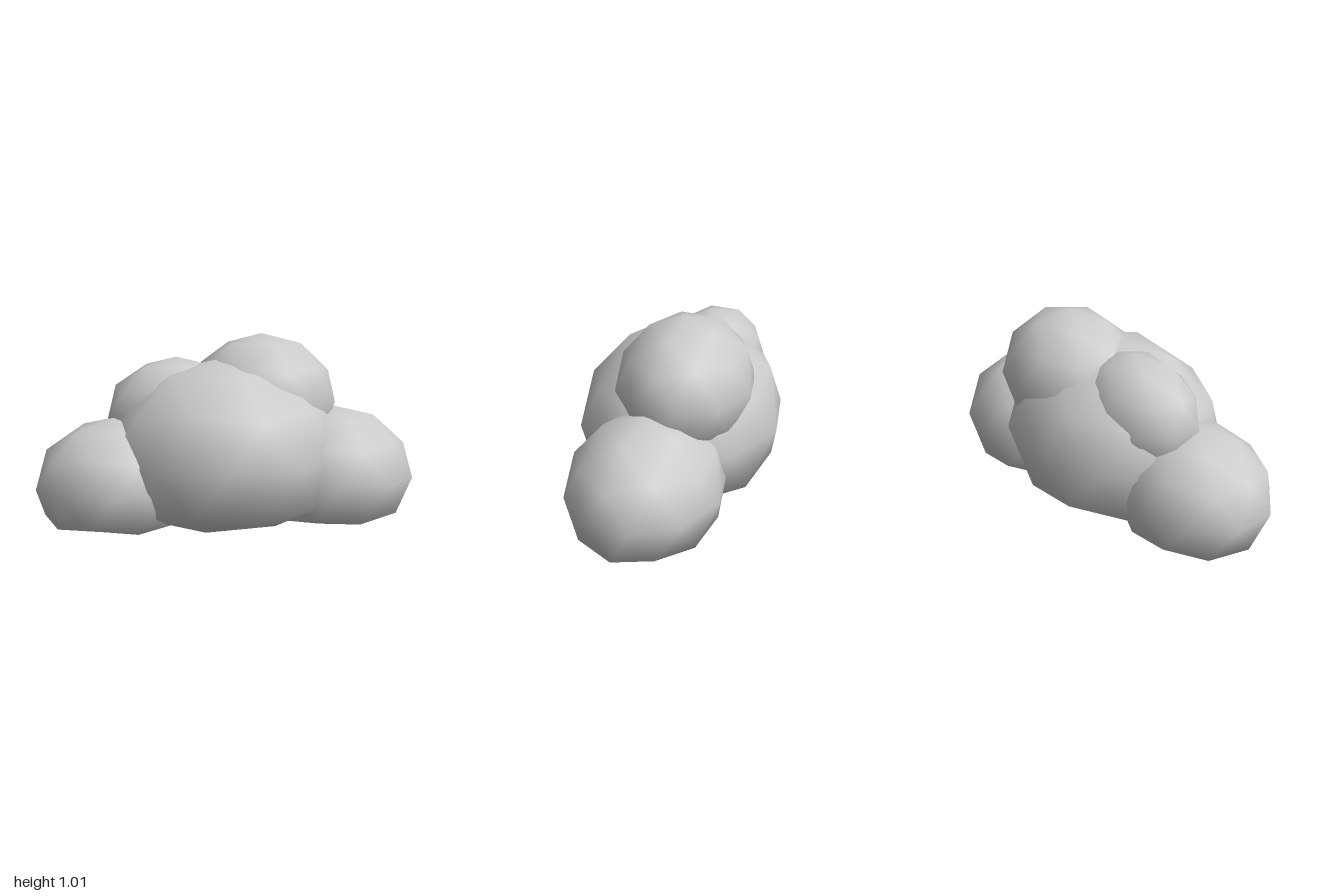
import * as THREE from 'three';
import { mergeVertices } from 'three/addons/utils/BufferGeometryUtils.js';

// Smooth low-poly puff: stretched icosphere with its underside pressed flat near the ground
function puffGeometry([cx, cy, cz], [rx, ry, rz]) {
  let geo = new THREE.IcosahedronGeometry(1, 1);
  geo.deleteAttribute('uv');
  geo.deleteAttribute('normal');
  geo = mergeVertices(geo, 1e-3);
  geo.rotateZ(-Math.atan(2 / (1 + Math.sqrt(5)))); // one vertex straight up
  geo.scale(rx, ry, rz);
  geo.translate(cx, cy, cz);
  const pos = geo.attributes.position;
  for (let i = 0; i < pos.count; i++) {
    const y = pos.getY(i);
    if (y < 0.02) pos.setY(i, Math.max(0, 0.022 + y * 0.13));
  }
  geo.computeVertexNormals();
  return geo;
}

export function createModel() {
  const cloud = new THREE.Group();
  cloud.name = 'cloud';
  const cloudGrey = new THREE.MeshStandardMaterial({ color: 0xcccccc });
  cloudGrey.name = 'cloudGrey';

  // name, centre, radii
  const puffs = [
    ['centrePuff', [-0.02, 0.365, 0], [0.63, 0.525, 0.53]],
    ['leftPuff', [0.56, 0.24, -0.065], [0.463, 0.385, 0.387]],
    ['rightPuff', [-0.58, 0.22, 0.04], [0.442, 0.365, 0.37]],
    ['upperLeftPuff', [0.19, 0.65, -0.11], [0.41, 0.36, 0.347]],
    ['upperRightPuff', [-0.27, 0.574, -0.065], [0.38, 0.316, 0.27]],
  ];
  for (const [name, centre, radii] of puffs) {
    const puff = new THREE.Mesh(puffGeometry(centre, radii), cloudGrey);
    puff.name = name;
    cloud.add(puff);
  }
  return cloud;
}
